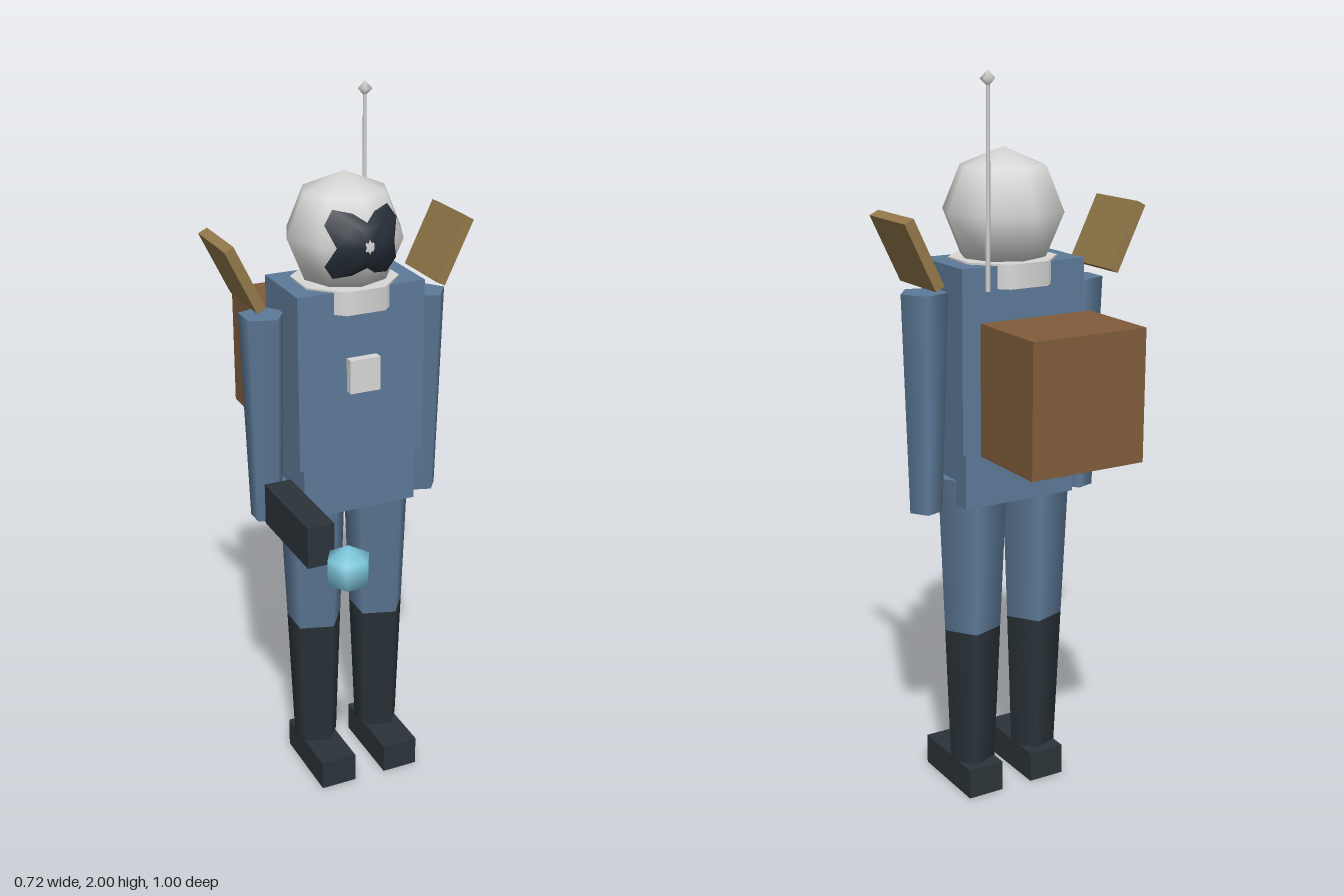
import * as THREE from 'three';

const mat = (name, color) => {
  const m = new THREE.MeshStandardMaterial({ color });
  m.name = name;
  return m;
};

export function createModel() {
  const suit = mat('suit blue', 0x5d7a98);
  const dark = mat('dark rubber', 0x2b343a);
  const white = mat('helmet white', 0xd8d8d6);
  const visorMat = mat('visor dark', 0x262e38);
  const brown = mat('pack brown', 0x815c3b);
  const ochre = mat('panel ochre', 0x94794a);
  const cyan = mat('orb cyan', 0x7cc8de);

  const group = new THREE.Group();
  const add = (name, geo, material, x, y, z) => {
    const m = new THREE.Mesh(geo, material);
    m.name = name;
    m.position.set(x, y, z);
    group.add(m);
    return m;
  };
  // box given by its extents
  const box = (name, material, x0, x1, y0, y1, z0, z1) =>
    add(name, new THREE.BoxGeometry(x1 - x0, y1 - y0, z1 - z0), material,
      (x0 + x1) / 2, (y0 + y1) / 2, (z0 + z1) / 2);
  // tapered upright limb with a corner pointing to +x
  const limb = (name, material, x, z, y0, y1, r0, r1, sides = 5) =>
    add(name, new THREE.CylinderGeometry(r1, r0, y1 - y0, sides, 1, false, Math.PI / 2),
      material, x, (y0 + y1) / 2, z);

  // body
  box('torso', suit, -0.185, 0.185, 1.017, 1.51, -0.19, 0.03);
  box('hips', suit, -0.168, 0.168, 0.863, 1.017, -0.175, 0.018);
  box('chestPanel', white, -0.045, 0.043, 1.228, 1.323, 0.02, 0.055);
  const collar = add('collar', new THREE.CylinderGeometry(0.146, 0.146, 0.065, 8), white, 0, 1.4825, -0.08);
  collar.rotation.y = Math.PI / 8;

  // limbs and shoulder plates on both sides
  for (const [side, s] of [['left', 1], ['right', -1]]) {
    limb(side + 'Arm', suit, 0.24 * s, -0.082, 0.847, 1.44, 0.046, 0.065);
    limb(side + 'Leg', suit, 0.1 * s, -0.08, 0.487, 0.93, 0.082, 0.1);
    limb(side + 'Boot', dark, 0.1 * s, -0.08, 0.08, 0.487, 0.066, 0.082);
    box(side + 'Foot', dark, 0.1 * s - 0.053, 0.1 * s + 0.053, 0, 0.087, -0.165, 0.087);
    const plate = add(side + 'ShoulderPlate', new THREE.BoxGeometry(0.028, 0.194, 0.193), ochre,
      0.305 * s, 1.558, -0.12);
    plate.rotation.z = -0.45 * s;
  }

  // helmet
  const R = 0.165, headY = 1.635, headZ = -0.08;
  add('helmet', new THREE.SphereGeometry(R, 8, 4), white, 0, headY, headZ);

  // visor: rings from the centre out to an outline that sits on the helmet facets
  const quarter = [[0.082, 0], [0.103, 0.055], [0.078, 0.092], [0.035, 0.083]];
  const outline = [
    ...quarter,
    ...quarter.slice(1).reverse().map(([x, y]) => [-x, y]),
    [-0.082, 0],
    ...quarter.slice(1).map(([x, y]) => [-x, -y]),
    ...quarter.slice(1).reverse().map(([x, y]) => [x, -y]),
  ];
  const n = outline.length;
  const onHelmet = (x, y) => R - 0.414 * (Math.abs(x) + Math.abs(y));
  const pos = [0, 0, 0.161], idx = [];
  for (const [x, y] of outline) {
    const mx = x * 0.55, my = y * 0.6;
    pos.push(mx, my, Math.min(onHelmet(mx, my) + 0.014, 0.16));
  }
  for (const [x, y] of outline) pos.push(x, y, onHelmet(x, y) + 0.001);
  for (let i = 0; i < n; i++) {
    const a = 1 + i, b = 1 + (i + 1) % n;
    idx.push(0, a, b, a, a + n, b + n, a, b + n, b);
  }
  const visorGeo = new THREE.BufferGeometry();
  visorGeo.setAttribute('position', new THREE.Float32BufferAttribute(pos, 3));
  visorGeo.setIndex(idx);
  visorGeo.computeVertexNormals();
  add('visor', visorGeo, visorMat, 0, headY, headZ);

  // backpack and antenna
  box('backpack', brown, -0.166, 0.166, 1.03, 1.38, -0.5, -0.25);
  limb('antenna', white, 0.119, -0.206, 1.45, 1.975, 0.007, 0.005);
  add('antennaTip', new THREE.SphereGeometry(0.021, 5, 2), white, 0.119, 1.979, -0.206);

  // hand tool and floating orb
  box('handTool', dark, -0.273, -0.197, 0.863, 0.98, -0.01, 0.28);
  add('orb', new THREE.SphereGeometry(0.066, 6, 3), cyan, -0.236, 0.94, 0.45);

  return group;
}
